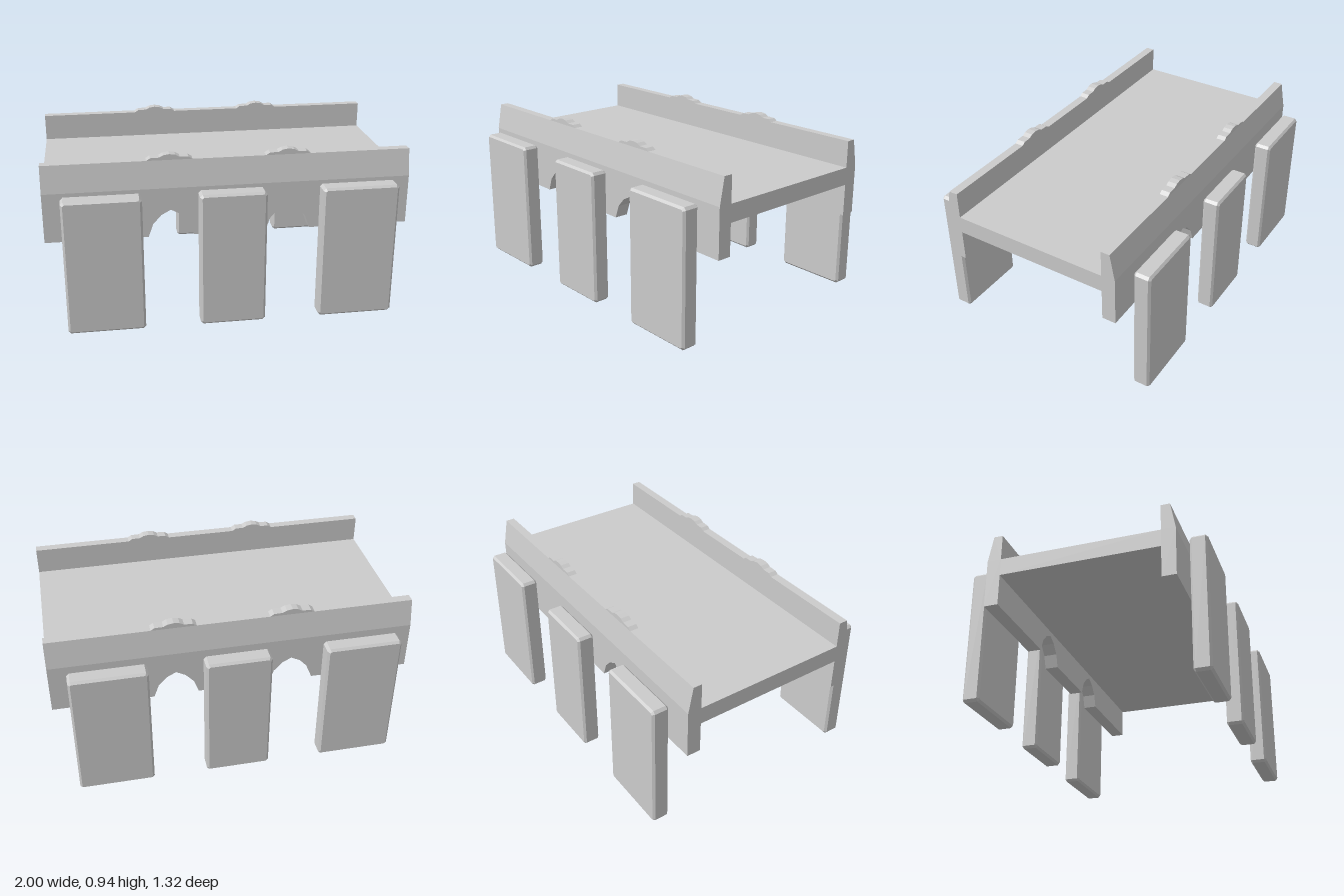
import * as THREE from 'three';

const material = new THREE.MeshStandardMaterial({ color: 0xcccccc, flatShading: true });
const INNER = 0.445, OUTER = 0.523, CREST = 0.495; // wall depths
const BASE = 0.487, DECK = 0.762, TOP = 0.911;     // wall heights
const ARCHES = [-0.322, 0.322];

function part(name, geometry) {
  const mesh = new THREE.Mesh(geometry, material);
  mesh.name = name;
  return mesh;
}

const shapeOf = (points) => new THREE.Shape(points.map(([x, y]) => new THREE.Vector2(x, y)));

// Mirrors the left half of a profile (ending on its centre point) and shifts it to cx
const symmetric = (half, cx) =>
  [...half, ...half.slice(0, -1).reverse().map(([x, y]) => [-x, y])].map(([x, y]) => [x + cx, y]);

function slab(points, z0, z1) {
  const g = new THREE.ExtrudeGeometry(shapeOf(points), { depth: z1 - z0, bevelEnabled: false });
  return g.translate(0, 0, z0);
}

// Upright block with every edge chamfered
function chamferedBlock(w, h, d, c) {
  const x = w / 2 - c, y = h / 2 - c, k = c * 0.6;
  const outline = [
    [-x + k, -y], [x - k, -y], [x, -y + k], [x, y - k],
    [x - k, y], [-x + k, y], [-x, y - k], [-x, -y + k],
  ];
  const g = new THREE.ExtrudeGeometry(shapeOf(outline), {
    depth: d - 2 * c, bevelEnabled: true, bevelSegments: 1, bevelSize: c, bevelThickness: c,
  });
  return g.translate(0, h / 2, -d / 2 + c);
}

function createSide(name) {
  const side = new THREE.Group();
  side.name = name;

  // Lower wall with two faceted arch openings
  const arch = [[-0.123, BASE], [-0.097, 0.56], [-0.052, 0.61], [0, 0.638]];
  const outline = [[-1, BASE], ...ARCHES.flatMap((cx) => symmetric(arch, cx)), [1, BASE], [1, DECK], [-1, DECK]];
  side.add(part('archedWall', slab(outline, INNER, OUTER)));

  // Parapet whose outer face leans inwards
  const section = shapeOf([[INNER, DECK], [OUTER, DECK], [CREST, TOP], [INNER, TOP]]);
  const parapet = new THREE.ExtrudeGeometry(section, { depth: 2, bevelEnabled: false });
  side.add(part('parapet', parapet.translate(0, 0, -1).rotateY(-Math.PI / 2)));

  // Stepped crests above the arches
  const crest = [[-0.123, TOP], [-0.102, 0.925], [-0.055, 0.926], [-0.032, 0.938], [0, 0.943]];
  for (const cx of ARCHES) {
    side.add(part('parapetCrest', slab(symmetric(crest, cx), INNER, CREST)));
  }

  // Free-standing piers
  for (const [x, w] of [[-0.692, 0.42], [0, 0.36], [0.692, 0.42]]) {
    const pier = part('pier', chamferedBlock(w, 0.762, 0.096, 0.012));
    pier.position.set(x, 0, 0.613);
    side.add(pier);
  }
  return side;
}

export function createModel() {
  const model = new THREE.Group();
  model.name = 'bridge';

  const deck = part('deck', new THREE.BoxGeometry(2, 0.098, 2 * INNER));
  deck.position.y = DECK - 0.049;
  model.add(deck);

  const back = createSide('backSide');
  back.rotation.y = Math.PI;
  model.add(createSide('frontSide'), back);
  return model;
}
